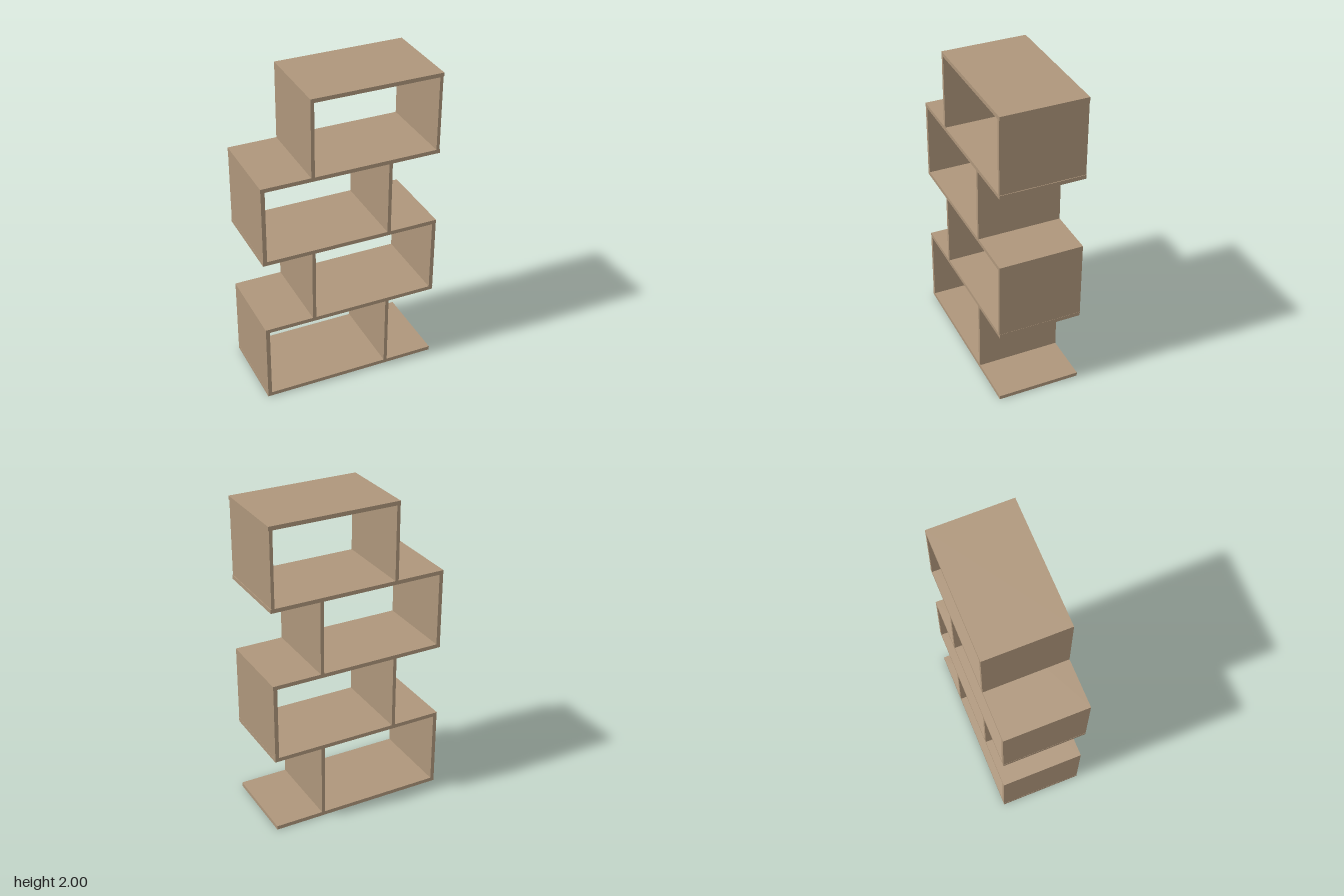
import * as THREE from 'three';

export function createModel() {
  const group = new THREE.Group();
  const wood = new THREE.MeshStandardMaterial({ color: 0xae967b });
  wood.name = 'light wood';

  const depth = 0.53;
  const thick = 0.025;
  const half = 0.566;
  const inner = 0.257; // outer face of the inset uprights
  const pitch = (2 - thick) / 4;

  // A board spanning x0..x1 and y0..y1 over the full depth
  function board(name, x0, x1, y0, y1) {
    const mesh = new THREE.Mesh(new THREE.BoxGeometry(x1 - x0, y1 - y0, depth), wood);
    mesh.position.set((x0 + x1) / 2, (y0 + y1) / 2, 0);
    mesh.name = name;
    group.add(mesh);
  }

  // Horizontal shelves; the top one covers only the last, shifted box
  for (let i = 0; i < 5; i++) {
    const y = i * pitch;
    board(i === 4 ? 'topBoard' : 'shelf' + (i + 1), i === 4 ? -inner : -half, half, y, y + thick);
  }

  // Each tier has an outer and an inset upright, alternating sides
  for (let i = 0; i < 4; i++) {
    const y0 = i * pitch + thick;
    const y1 = (i + 1) * pitch;
    const side = i % 2 === 0 ? -1 : 1;
    const upright = (name, outerX, dir, t) => {
      const a = outerX, b = outerX - dir * t;
      board(name + (i + 1), Math.min(a, b), Math.max(a, b), y0, y1);
    };
    upright('outerUpright', side * (i === 3 ? 0.562 : half - 0.001), side, i === 3 ? 0.02 : thick);
    upright('innerUpright', -side * inner, -side, 0.022);
  }

  return group;
}
